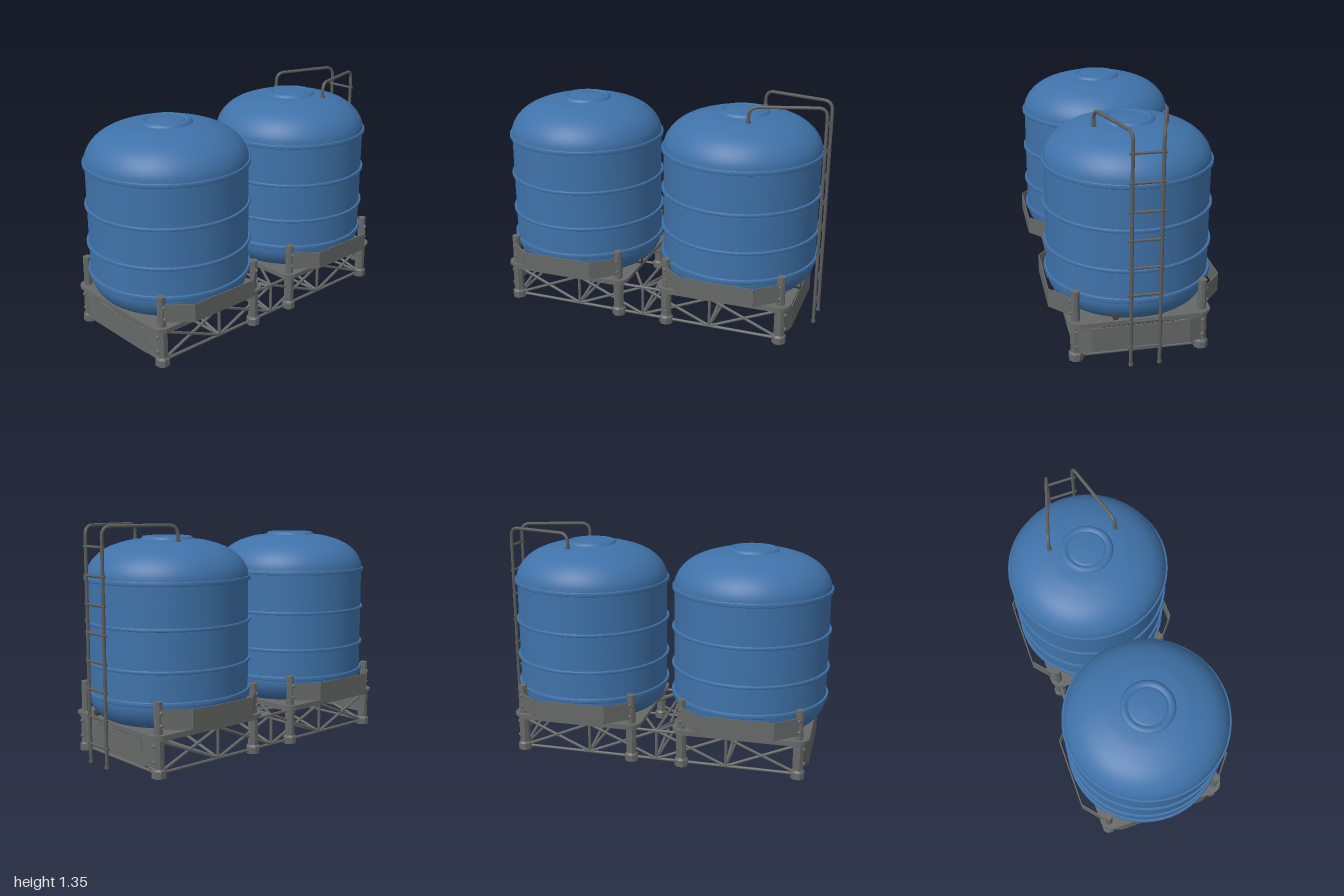
import * as THREE from 'three';

const material = (name, color) => {
  const m = new THREE.MeshStandardMaterial({ color });
  m.name = name;
  return m;
};
const V = (x, y, z) => new THREE.Vector3(x, y, z);

export function createModel() {
  const blue = material('tank blue', 0x3f72a9);
  const steel = material('steel grey', 0x666967);
  const pipe = material('pipe grey', 0x5c5d5d);
  const brown = material('outlet brown', 0x4a4038);
  const model = new THREE.Group();
  model.name = 'twinWaterTanks';

  const add = (parent, name, geometry, mat, x = 0, y = 0, z = 0) => {
    const mesh = new THREE.Mesh(geometry, mat);
    mesh.name = name;
    mesh.position.set(x, y, z);
    parent.add(mesh);
    return mesh;
  };
  // Round bar between two points
  const bar = (parent, name, a, b, r, mat) => {
    const d = b.clone().sub(a);
    const mesh = add(parent, name, new THREE.CylinderGeometry(r, r, d.length(), 8), mat);
    mesh.position.copy(a).add(b).multiplyScalar(0.5);
    mesh.quaternion.setFromUnitVectors(V(0, 1, 0), d.normalize());
  };
  // Bent vertical plate following [x, z] points
  const bentPlate = (parent, name, pts, y, height, t) => {
    for (let i = 0; i + 1 < pts.length; i++) {
      const [x0, z0] = pts[i], [x1, z1] = pts[i + 1];
      const geo = new THREE.BoxGeometry(Math.hypot(x1 - x0, z1 - z0), height, t);
      const mesh = add(parent, name, geo, steel, (x0 + x1) / 2, y, (z0 + z1) / 2);
      mesh.rotation.y = -Math.atan2(z1 - z0, x1 - x0);
    }
  };
  const lathe = (pts) => new THREE.LatheGeometry(pts.map(p => new THREE.Vector2(...p)), 64);
  const smooth = (pts, n) =>
    new THREE.SplineCurve(pts.map(p => new THREE.Vector2(...p))).getPoints(n).map(p => [p.x, p.y]);
  // Flat slab with rounded corners, base at y = 0
  const slab = (half, corner, height) => {
    const s = new THREE.Shape(), k = half - corner;
    s.absarc(k, k, corner, 0, Math.PI / 2);
    s.absarc(-k, k, corner, Math.PI / 2, Math.PI);
    s.absarc(-k, -k, corner, Math.PI, Math.PI * 1.5);
    s.absarc(k, -k, corner, Math.PI * 1.5, Math.PI * 2);
    return new THREE.ExtrudeGeometry(s, { depth: height, bevelEnabled: false, curveSegments: 6 })
      .rotateX(-Math.PI / 2);
  };

  // Tank profiles
  const bowl = lathe([[0, 0.242], ...smooth([[0.385, 0.242], [0.42, 0.265], [0.448, 0.305], [0.463, 0.345], [0.466, 0.385]], 12)]);
  const wall = lathe([[0.466, 0.385], [0.466, 0.57], [0.466, 0.8], [0.466, 1.045]]);
  const dome = lathe(smooth([[0.47, 1.045], [0.462, 1.09], [0.435, 1.14], [0.39, 1.185], [0.33, 1.22],
    [0.25, 1.247], [0.2, 1.257], [0.14, 1.263]], 24));
  const hatch = lathe([[0.157, 1.255], [0.15, 1.268], [0.14, 1.278], [0.122, 1.28], [0.114, 1.27],
    [0.106, 1.27], [0.098, 1.28], [0, 1.283]]);
  const boltGeo = new THREE.SphereGeometry(0.011, 8, 6);

  for (const [side, cx] of [[-1, -0.52], [1, 0.487]]) {
    const tank = new THREE.Group();
    tank.name = side < 0 ? 'rightTank' : 'leftTank';
    tank.position.x = cx;
    model.add(tank);
    add(tank, 'tankBowl', bowl, blue);
    add(tank, 'tankWall', wall, blue);
    add(tank, 'tankDome', dome, blue);
    add(tank, 'hatch', hatch, blue);
    // Raised hoops
    for (const [y, h] of [[0.392, 0.026], [0.568, 0.018], [0.797, 0.018], [1.042, 0.024]]) {
      const a = y - h / 2, b = y + h / 2;
      add(tank, 'hoop', lathe([[0.46, a], [0.477, a], [0.477, a], [0.48, a + 0.004], [0.48, b - 0.004],
        [0.477, b], [0.477, b], [0.46, b]]), blue);
    }
    // Drain outlet
    add(tank, 'outlet', new THREE.CylinderGeometry(0.018, 0.018, 0.05, 12).rotateZ(Math.PI / 2), brown, 0.395, 0.275, 0.147);

    // Platform
    add(tank, 'platformTop', slab(0.406, 0.07, 0.016), steel, 0, 0.226, 0);
    add(tank, 'platformBase', slab(0.396, 0.07, 0.018), steel, 0, 0.208, 0);

    // Feet, legs and corner posts
    const prism = (r0, r1, h) => {
      const g = new THREE.CylinderGeometry(r0, r1, h, 8).rotateY(Math.PI / 8).toNonIndexed();
      g.computeVertexNormals();
      return g;
    };
    for (const sx of [-1, 1]) for (const sz of [-1, 1]) {
      const x = sx * 0.348, z = sz * 0.357;
      add(tank, 'foot', prism(0.042, 0.042, 0.04), steel, x, 0.02, z);
      add(tank, 'footCap', prism(0.032, 0.042, 0.012), steel, x, 0.046, z);
      add(tank, 'leg', prism(0.032, 0.032, 0.16), steel, x, 0.13, z);
      add(tank, 'cornerPost', prism(0.025, 0.025, 0.18), steel, x, 0.33, z);
      for (const y of [0.29, 0.36]) add(tank, 'postBolt', boltGeo, steel, x, y, z + sz * 0.026);
      if (sx === side)
        for (const y of [0.09, 0.18]) add(tank, 'legBolt', boltGeo, steel, x + sx * 0.032, y, z);
    }
    // Guard plates front and back
    for (const sz of [-1, 1])
      bentPlate(tank, 'guardPlate', [[-0.35, 0.375 * sz], [-0.218, 0.487 * sz], [0.218, 0.487 * sz], [0.35, 0.375 * sz]], 0.324, 0.108, 0.006);
    // Skirt plate at the outer end
    bentPlate(tank, 'endPlate', [[0.365 * side, -0.37], [0.4 * side, -0.275], [0.4 * side, 0.275], [0.365 * side, 0.37]], 0.133, 0.146, 0.008);
  }

  // Truss under both platforms
  const truss = new THREE.Group();
  truss.name = 'truss';
  model.add(truss);
  const lo = 0.02, hi = 0.202, zf = 0.352, r = 0.009;
  const nodes = [0, 1, 2, 3, 4].map(i => -0.868 + i * 0.4258);
  nodes.forEach((x, i) => {
    for (const y of [lo, hi]) bar(truss, 'crossBar', V(x, y, -zf), V(x, y, zf), r, steel);
    bar(truss, 'crossBrace', V(x, lo, -zf), V(x, hi, zf), r, steel);
    bar(truss, 'crossBrace', V(x, hi, -zf), V(x, lo, zf), r, steel);
    for (const z of [-zf, zf]) bar(truss, 'upright', V(x, lo, z), V(x, hi, z), r, steel);
    if (i === 4) return;
    const n = nodes[i + 1];
    for (const z of [-zf, zf]) {
      bar(truss, 'chord', V(x, lo, z), V(n, lo, z), r, steel);
      bar(truss, 'chord', V(x, hi, z), V(n, hi, z), r, steel);
      bar(truss, 'sideBrace', V(x, lo, z), V(n, hi, z), r, steel);
      bar(truss, 'sideBrace', V(x, hi, z), V(n, lo, z), r, steel);
      bar(truss, 'deckBrace', V(x, hi - 0.005, z), V(n, hi - 0.005, -z), r, steel);
    }
  });

  // Ladder with rails bending over the dome
  const ladder = new THREE.Group();
  ladder.name = 'ladder';
  model.add(ladder);
  const lx = 0.985;
  for (const s of [-1, 1]) {
    const pts = [V(lx, 0.02, 0.08 * s), V(lx, 1.345, 0.08 * s), V(0.568, 1.345, 0.202 * s), V(0.568, 1.25, 0.202 * s)];
    const path = new THREE.CurvePath();
    let from = pts[0];
    for (let i = 1; i < 3; i++) {
      const before = pts[i].clone().add(pts[i - 1].clone().sub(pts[i]).setLength(0.055));
      const after = pts[i].clone().add(pts[i + 1].clone().sub(pts[i]).setLength(0.055));
      path.add(new THREE.LineCurve3(from, before));
      path.add(new THREE.QuadraticBezierCurve3(before, pts[i], after));
      from = after;
    }
    path.add(new THREE.LineCurve3(from, pts[3]));
    add(ladder, 'rail', new THREE.TubeGeometry(path, 110, 0.01, 8), pipe);
    add(ladder, 'railFoot', new THREE.CylinderGeometry(0.013, 0.013, 0.014, 10), pipe, lx, 0.021, 0.08 * s);
    add(ladder, 'railFlange', new THREE.CylinderGeometry(0.015, 0.015, 0.012, 10), pipe, 0.568, 1.258, 0.202 * s);
  }
  for (let i = 0; i < 8; i++) {
    const y = 0.126 + i * 0.158;
    bar(ladder, 'rung', V(lx, y, -0.097), V(lx, y, 0.097), 0.008, pipe);
  }
  return model;
}
